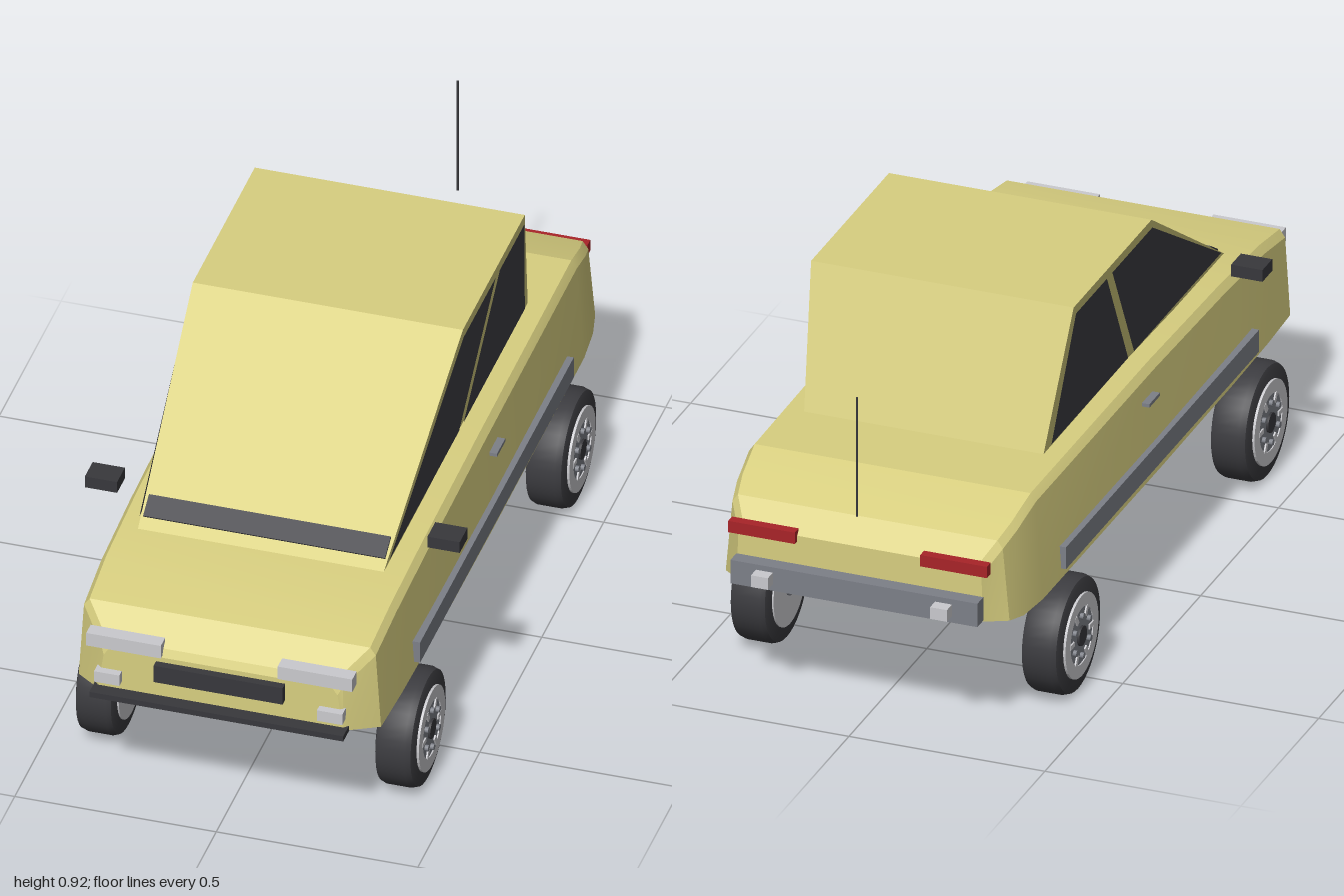
import * as THREE from 'three';
import { toCreasedNormals } from 'three/addons/utils/BufferGeometryUtils.js';
import { ConvexGeometry } from 'three/addons/geometries/ConvexGeometry.js';

const mat = (name, color, side = THREE.FrontSide) => {
  const m = new THREE.MeshStandardMaterial({ color, side });
  m.name = name;
  return m;
};

export function createModel() {
  const paint = mat('yellow paint', 0xd8cf80);
  const black = mat('black plastic', 0x38383c);
  const glass = mat('dark glass', 0x404046, THREE.DoubleSide);
  const rubber = mat('tyre rubber', 0x3c3c40);
  const grey = mat('grey trim', 0x7d8088);
  const silver = mat('light silver', 0xcacace);
  const red = mat('red lamp', 0xa82428);

  const car = new THREE.Group();
  car.name = 'car';
  const add = (name, geo, material, parent = car) => {
    const m = new THREE.Mesh(geo, material);
    m.name = name;
    parent.add(m);
    return m;
  };
  // Box given by its ranges on each axis
  const box = (name, material, [x0, x1], [y0, y1], [z0, z1]) => {
    const m = add(name, new THREE.BoxGeometry(x1 - x0, y1 - y0, z1 - z0), material);
    m.position.set((x0 + x1) / 2, (y0 + y1) / 2, (z0 + z1) / 2);
    return m;
  };
  const pair = (name, material, [x0, x1], y, z) => {
    box(name + 'Left', material, [x0, x1], y, z);
    box(name + 'Right', material, [-x1, -x0], y, z);
  };

  // Lower body: cross-sections from nose to tail [z, bottom, top, bottom half-width, top half-width]
  const sections = [
    [0.965, 0.335, 0.45, 0.305, 0.29],
    [0.955, 0.328, 0.47, 0.315, 0.3],
    [0.89, 0.307, 0.53, 0.375, 0.362],
    [0.74, 0.305, 0.555, 0.38, 0.366],
    [0.5, 0.305, 0.57, 0.384, 0.368],
    [0.03, 0.305, 0.584, 0.386, 0.37],
    [-0.72, 0.305, 0.58, 0.384, 0.366],
    [-0.82, 0.307, 0.548, 0.375, 0.357],
    [-0.88, 0.318, 0.525, 0.362, 0.345],
    [-0.93, 0.33, 0.47, 0.315, 0.31],
  ];
  const pos = [], painted = [], under = [];
  for (const [z, yb, yt, wb, wt] of sections) {
    const half = [[wb, yb], [wt, yt - 0.02], [wt - 0.014, yt]];
    for (const [x, y] of half) pos.push(x, y, z);
    for (const [x, y] of half.reverse()) pos.push(-x, y, z);
  }
  for (let s = 0; s < sections.length - 1; s++) {
    for (let i = 0; i < 6; i++) {
      const a = s * 6 + i, b = s * 6 + (i + 1) % 6;
      const list = i === 5 && s >= 2 && s <= 6 ? under : painted;
      list.push(a, a + 6, b + 6, a, b + 6, b);
    }
  }
  const last = (sections.length - 1) * 6;
  for (let i = 1; i < 5; i++) painted.push(0, i, i + 1, last, last + i + 1, last + i);
  const bodyGeo = new THREE.BufferGeometry();
  bodyGeo.setAttribute('position', new THREE.Float32BufferAttribute(pos, 3));
  bodyGeo.setIndex([...painted, ...under]);
  bodyGeo.addGroup(0, painted.length, 0);
  bodyGeo.addGroup(painted.length, under.length, 1);
  add('body', toCreasedNormals(bodyGeo, 0.3), [paint, black]);

  // Cabin, wider at the roof than at the waist
  const sideX = (y) => 0.305 + 0.03 * (y - 0.575) / 0.345;
  const outline = [[0.64, 0.574], [0.1, 0.92], [-0.4, 0.92], [-0.52, 0.578]];
  const corners = [];
  for (const [z, y] of outline)
    for (const s of [1, -1]) corners.push(new THREE.Vector3(s * sideX(y), y, z));
  add('cabin', new ConvexGeometry(corners), paint);

  // Side windows lie just outside the cabin walls
  const windows = {
    frontWindow: [[0.61, 0.59], [0.1, 0.9], [-0.157, 0.9], [0.05, 0.59]],
    rearWindow: [[0.012, 0.59], [-0.192, 0.9], [-0.39, 0.9], [-0.48, 0.59]],
  };
  for (const [name, pts] of Object.entries(windows)) {
    for (const s of [1, -1]) {
      const geo = new THREE.BufferGeometry();
      geo.setAttribute('position', new THREE.Float32BufferAttribute(
        pts.flatMap(([z, y]) => [s * (sideX(y) + 0.004), y, z]), 3));
      geo.setIndex(s > 0 ? [0, 2, 1, 0, 3, 2] : [0, 1, 2, 0, 2, 3]);
      geo.computeVertexNormals();
      add(name + (s > 0 ? 'Left' : 'Right'), geo, glass);
    }
  }

  // Dark strip along the foot of the windscreen
  const strip = add('windscreenStrip', new THREE.BoxGeometry(0.6, 0.057, 0.008), glass);
  strip.position.set(0, 0.608, 0.589);
  strip.rotation.x = -Math.atan2(0.54, 0.346);

  // Nose
  pair('headlight', silver, [0.145, 0.33], [0.455, 0.491], [0.94, 0.976]);
  pair('fogLight', silver, [0.245, 0.308], [0.361, 0.391], [0.955, 0.985]);
  box('grille', black, [-0.16, 0.16], [0.39, 0.437], [0.955, 0.985]);
  box('frontLip', black, [-0.315, 0.315], [0.325, 0.34], [0.94, 1]);

  // Tail
  pair('tailLamp', red, [0.16, 0.33], [0.455, 0.485], [-0.945, -0.92]);
  box('rearBumper', grey, [-0.315, 0.315], [0.333, 0.395], [-0.968, -0.93]);
  pair('exhaust', silver, [0.207, 0.25], [0.35, 0.381], [-1, -0.965]);
  const antenna = add('antenna', new THREE.CylinderGeometry(0.003, 0.003, 0.315, 8), black);
  antenna.position.set(0, 0.717, -0.948);

  // Sides
  pair('sideSkirt', grey, [0.36, 0.395], [0.33, 0.388], [-0.6, 0.64]);
  pair('doorHandle', grey, [0.365, 0.392], [0.505, 0.514], [-0.057, 0.01]);
  pair('mirror', black, [0.385, 0.465], [0.6, 0.631], [0.485, 0.548]);

  // Wheels, built around the y axis with the outer side up
  const tyreProfile = [[0, -0.046], [0.13, -0.046], [0.142, -0.042], [0.147, -0.03],
    [0.147, 0.03], [0.142, 0.045], [0.13, 0.049], [0, 0.049]].map((p) => new THREE.Vector2(...p));
  const tyreGeo = toCreasedNormals(new THREE.LatheGeometry(tyreProfile, 40), 0.6);
  const disc = (r, h, n = 32) => new THREE.CylinderGeometry(r, r, h, n);
  const ringShape = new THREE.Shape().absarc(0, 0, 0.106, 0, Math.PI * 2);
  ringShape.holes.push(new THREE.Path().absarc(0, 0, 0.073, 0, Math.PI * 2, true));
  const ringGeo = new THREE.ExtrudeGeometry(ringShape, { depth: 0.007, bevelEnabled: false, curveSegments: 20 });
  ringGeo.rotateX(-Math.PI / 2);
  const wheel = (name, side, z) => {
    const g = new THREE.Group();
    g.name = name;
    add('tyre', tyreGeo, rubber, g);
    add('rimRing', ringGeo, silver, g).position.y = 0.048;
    add('rimDisc', disc(0.074, 0.004), grey, g).position.y = 0.05;
    add('hub', disc(0.025, 0.012, 20), black, g).position.y = 0.052;
    for (let i = 0; i < 6; i++) {
      const a = (i + 0.5) * Math.PI / 3;
      const spoke = add('spoke', new THREE.BoxGeometry(0.028, 0.006, 0.012), silver, g);
      spoke.position.set(Math.cos(a) * 0.062, 0.053, Math.sin(a) * 0.062);
      spoke.rotation.y = -a;
      const b = i * Math.PI / 3;
      const bolt = add('bolt', disc(0.008, 0.012, 8), grey, g);
      bolt.position.set(Math.cos(b) * 0.052, 0.055, Math.sin(b) * 0.052);
    }
    add('innerRim', disc(0.106, 0.006), silver, g).position.y = -0.047;
    add('innerHub', disc(0.028, 0.012, 20), grey, g).position.y = -0.049;
    g.rotation.z = -side * Math.PI / 2;
    g.position.set(side * 0.37, 0.147, z);
    car.add(g);
  };
  for (const [s, label] of [[1, 'Left'], [-1, 'Right']]) {
    wheel('frontWheel' + label, s, 0.641);
    wheel('rearWheel' + label, s, -0.573);
  }
  return car;
}
